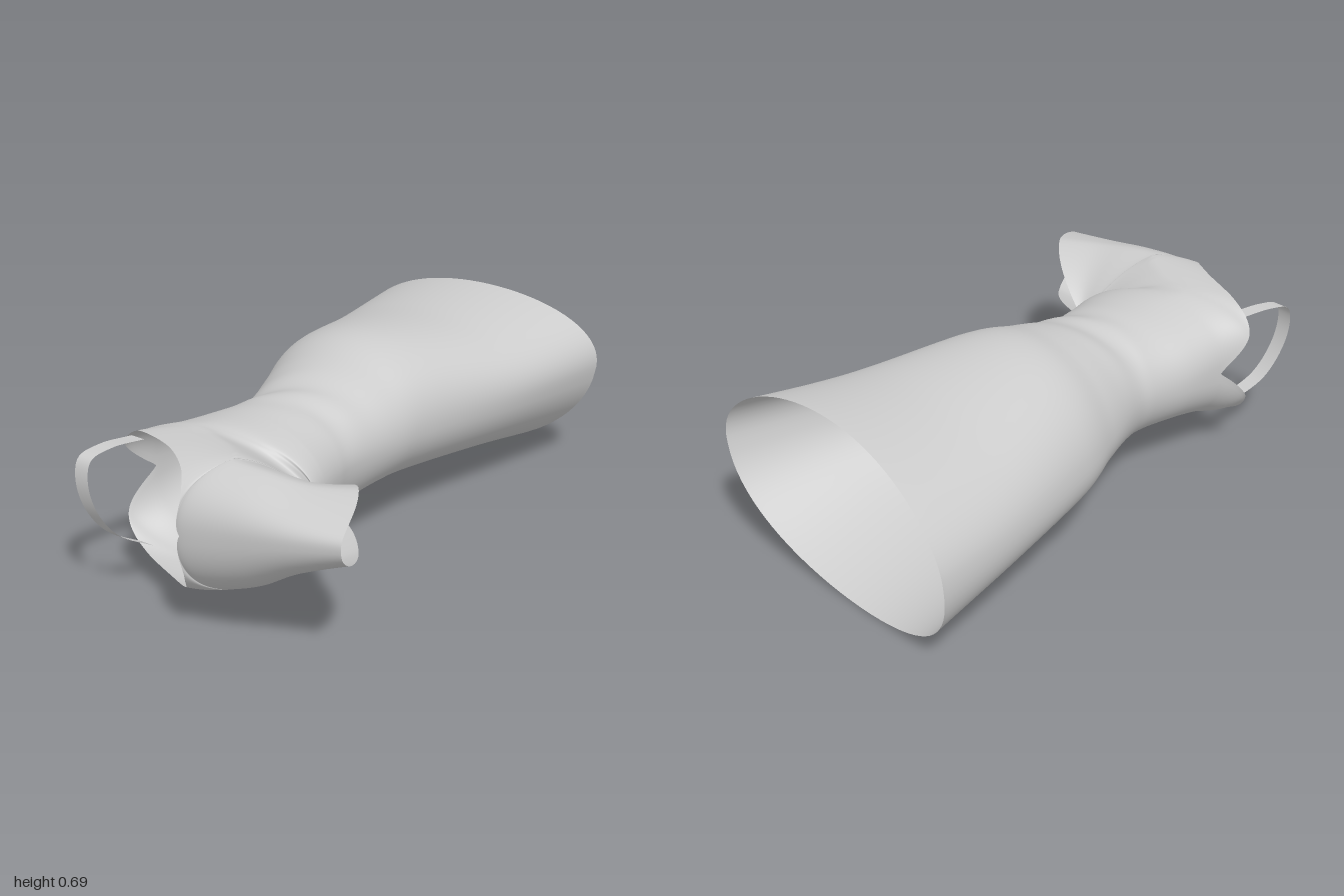
import * as THREE from 'three';
import { mergeVertices } from 'three/addons/utils/BufferGeometryUtils.js';

const material = new THREE.MeshStandardMaterial({ color: 0xcccccc, side: THREE.DoubleSide });

// Catmull-Rom blend of neighbouring rows of numbers
function sampleRows(rows, t) {
  const last = rows.length - 1;
  const i = Math.min(Math.floor(t), last - 1);
  const f = t - i;
  const row = k => rows[Math.max(0, Math.min(last, k))];
  return rows[i].map((b, k) => {
    const a = row(i - 1)[k], c = row(i + 1)[k], d = row(i + 2)[k];
    return b + 0.5 * f * (c - a + f * (2 * a - 5 * b + 4 * c - d + f * (3 * (b - c) + d - a)));
  });
}

// Surface through a grid of points; rings advance with i, points with j
function gridSurface(rows, cols, pointAt) {
  const position = [], index = [];
  for (let i = 0; i <= rows; i++)
    for (let j = 0; j <= cols; j++) position.push(...pointAt(i / rows, j / cols));
  for (let i = 0; i < rows; i++)
    for (let j = 0; j < cols; j++) {
      const a = i * (cols + 1) + j, b = a + cols + 1;
      index.push(a, b, a + 1, b, b + 1, a + 1);
    }
  let g = new THREE.BufferGeometry();
  g.setAttribute('position', new THREE.Float32BufferAttribute(position, 3));
  g.setIndex(index);
  g = mergeVertices(g, 1e-4);
  g.computeVertexNormals();
  return g;
}

// Leg sections: inner x,z | outer x,z | bottom, top | roundness
const leg = [
  [0.445, -0.94, -0.64, -0.94, 0.0, 0.67, 0.95],
  [0.37, -0.6, -0.585, -0.6, 0.07, 0.65, 0.95],
  [0.265, -0.2, -0.49, -0.2, 0.125, 0.685, 0.95],
  [0.235, 0.0, -0.41, 0.0, 0.145, 0.645, 1],
  [0.205, 0.22, -0.33, 0.2, 0.135, 0.595, 1],
  [0.215, 0.33, -0.325, 0.3, 0.14, 0.59, 1],
  [0.25, 0.46, -0.355, 0.45, 0.14, 0.59, 0.9],
].map(r => [...r, 0, 0, 0, 0.37]);
// Foot sections fan around the instep; after roundness:
// half-angle of heel gap | sideways bulge | pinch at the instep | outer height
const foot = [
  [-0.37, 0.6, 0.125, 0.6, 0.75, 0, 0, 0.1, 0.37],
  [-0.39, 0.725, 0.11, 0.605, 0.65, 0.35, 0, 0.2, 0.37],
  [-0.28, 0.765, 0.11, 0.605, 0.75, 1.05, 0, 0.3, 0.37],
  [-0.1, 0.83, 0.11, 0.61, 0.85, 1.25, 0, 0.4, 0.37],
  [0.02, 0.905, 0.13, 0.612, 0.85, 1.05, 0, 0.45, 0.38],
  [0.07, 0.965, 0.145, 0.613, 0.85, 0.6, 0, 0.45, 0.39],
  [0.083, 0.995, 0.15, 0.615, 0.85, 0, 0, 0.5, 0.4],
  [0.26, 0.975, 0.2, 0.605, 0.85, 0, 0.01, 0.55, 0.43],
  [0.45, 0.945, 0.29, 0.585, 0.85, 0, 0.04, 0.6, 0.46],
  [0.64, 0.9, 0.36, 0.58, 0.85, 0, 0.09, 0.6, 0.48],
].map(r => [0.27, 0.53, ...r]);
const sections = [...leg, ...foot];

function sleevePoint(u, v) {
  const [ix, iz, ox, oz, bottom, top, roundness, gap, bulge, pinch, yOut] =
    sampleRows(sections, u * (sections.length - 1));
  const a0 = Math.max(0, gap);
  const a = a0 + v * 2 * (Math.PI - a0);
  const s = Math.sin(a);
  const ring = (1 + Math.cos(a)) / (1 + Math.cos(a0));
  // leg section leans: upper side towards the inside, lower side outwards
  const t = ring - 0.08 * s * Math.max(0, 1 - u * 2.6);
  const lift = Math.pow(Math.abs(s), roundness) * Math.pow(Math.min(1, ring / 0.6), Math.max(0, pinch));
  const yMid = 0.39 + (yOut - 0.39) * ring;
  let y = yMid + lift * ((s > 0 ? top : bottom) - yMid);
  // mouth of the toe bows outward
  const len = Math.hypot(ox - ix, oz - iz);
  const push = bulge * 4 * ring * (1 - ring);
  const x = ix + (ox - ix) * t + push * (oz - iz) / len;
  let z = iz + (oz - iz) * t - push * (ox - ix) / len;
  // rim dips between the two side points
  z -= 0.055 * Math.cos(a) ** 2 * Math.max(0, 1 - u * 8);
  // soft creases across the instep
  if (s > 0) y += 0.007 * s * Math.exp(-(((z - 0.22) / 0.1) ** 2)) * Math.sin(34 * z + 13 * x);
  return [x, y, z];
}

export function createModel() {
  const group = new THREE.Group();
  group.name = 'footSleeve';

  // Flared leg, ankle and open-toed foot with a heel opening
  const sleeve = new THREE.Mesh(gridSurface(192, 80, sleevePoint), material);
  sleeve.name = 'sleeve';
  group.add(sleeve);

  // Narrow strap looping across the heel opening
  const path = new THREE.CatmullRomCurve3([
    [-0.315, 0.54, 0.74], [-0.345, 0.545, 0.86], [-0.36, 0.525, 0.945], [-0.358, 0.46, 0.968],
    [-0.345, 0.35, 0.95], [-0.32, 0.24, 0.88], [-0.275, 0.165, 0.76],
  ].map(p => new THREE.Vector3(...p)));
  const strap = new THREE.Mesh(gridSurface(40, 2, (u, v) => {
    const p = path.getPoint(u);
    return [p.x + (v - 0.5) * 0.056, p.y, p.z];
  }), material);
  strap.name = 'heelStrap';
  group.add(strap);

  return group;
}
